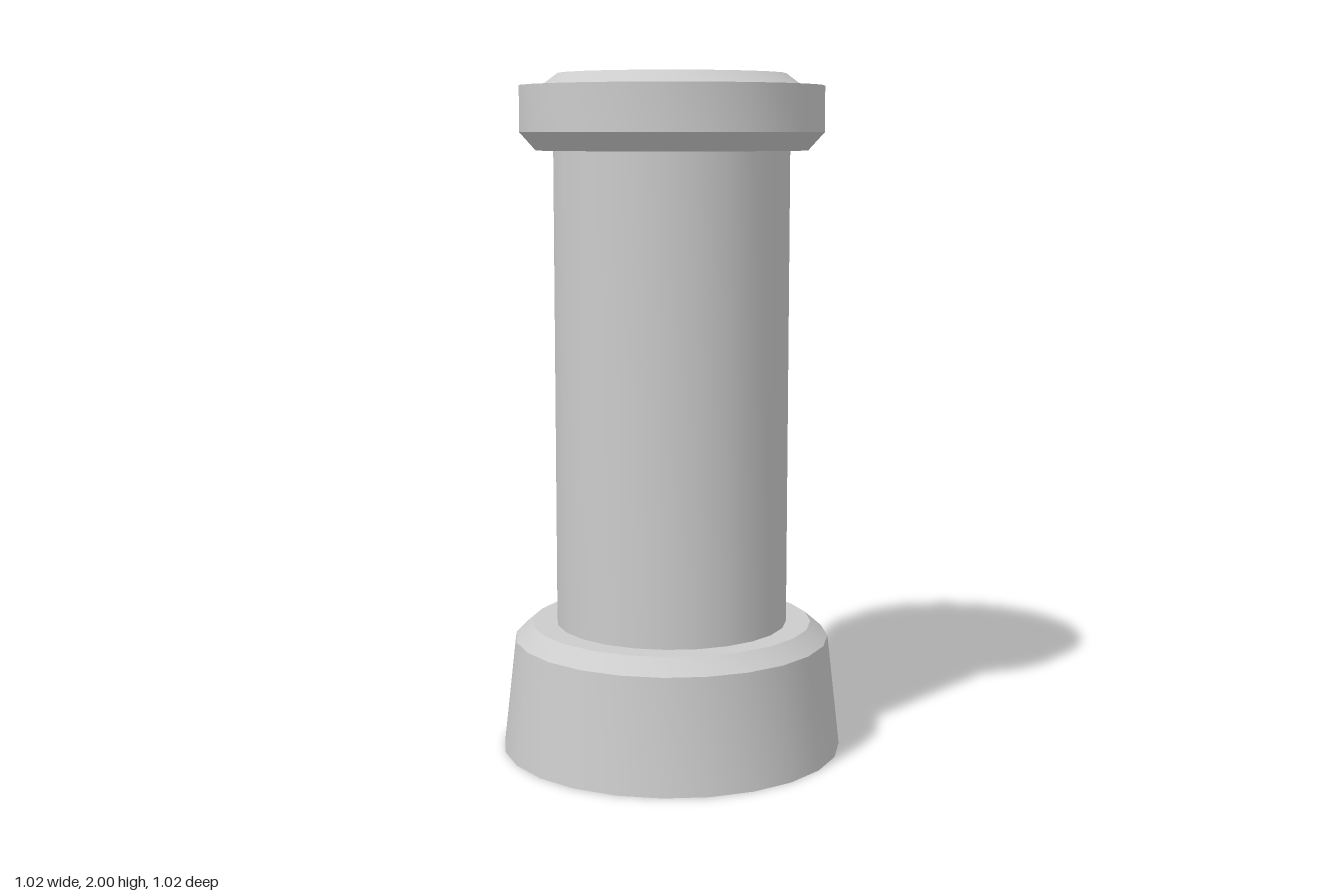
import * as THREE from 'three';
import { toCreasedNormals } from 'three/addons/utils/BufferGeometryUtils.js';

const SIDES = 24;
const material = new THREE.MeshStandardMaterial({ color: 0xcccccc, side: THREE.DoubleSide });

// Turns a profile of [radius, height] points, smooth around and sharp at the ridges
function turned(name, profile) {
  const points = profile.map(([r, y]) => new THREE.Vector2(r, y));
  const mesh = new THREE.Mesh(toCreasedNormals(new THREE.LatheGeometry(points, SIDES), 0.5), material);
  mesh.name = name;
  return mesh;
}

export function createModel() {
  const group = new THREE.Group();
  group.name = 'pillar';

  // Flared foot, hollow and open underneath
  group.add(turned('base', [[0.508, 0], [0.47, 0.335], [0.418, 0.38], [0.345, 0.38]]));

  // Plain round column
  group.add(turned('shaft', [[0.345, 0.38], [0.345, 1.78]]));

  // Plate closing the column, slightly recessed above the foot
  const plate = new THREE.Mesh(new THREE.CircleGeometry(0.345, SIDES), material);
  plate.name = 'shaftPlate';
  plate.rotation.x = Math.PI / 2;
  plate.position.y = 0.41;
  group.add(plate);

  // Chamfered collar with a raised lid
  group.add(turned('cap', [
    [0.345, 1.78], [0.397, 1.78], [0.444, 1.832], [0.444, 1.965],
    [0.379, 1.965], [0.332, 2], [0, 2],
  ]));

  return group;
}
